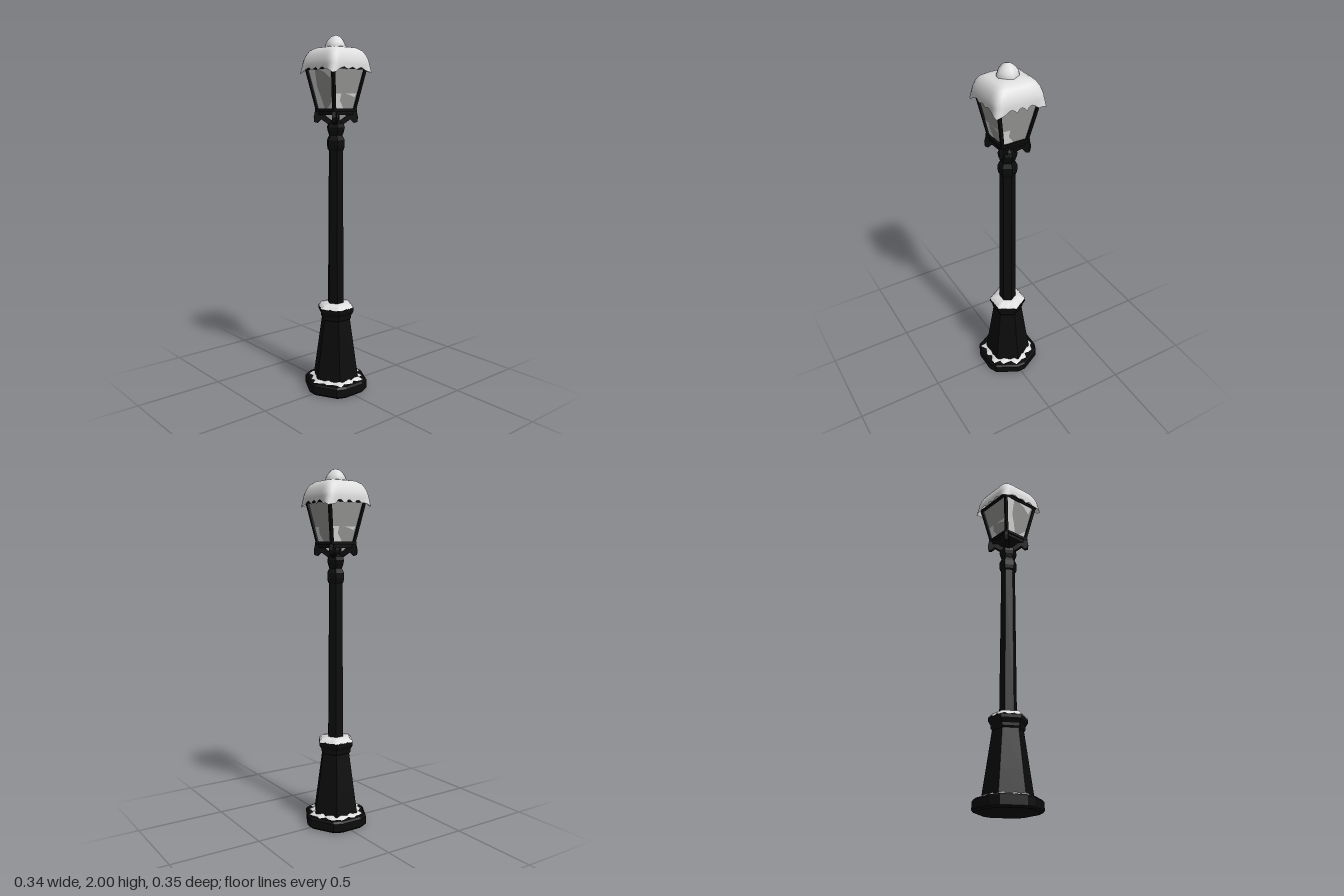
import * as THREE from 'three';

const iron = new THREE.MeshStandardMaterial({ color: 0x0c0c0c, flatShading: true });
iron.name = 'black iron';
const snow = new THREE.MeshStandardMaterial({ color: 0xdedede, side: THREE.DoubleSide });
snow.name = 'snow';
const glass = new THREE.MeshStandardMaterial({ color: 0x9c9c9a, flatShading: true, side: THREE.DoubleSide });
glass.name = 'frosted glass';

const V = (x, y, z) => new THREE.Vector3(x, y, z);

function add(parent, name, geometry, material) {
  const mesh = new THREE.Mesh(geometry, material);
  mesh.name = name;
  parent.add(mesh);
  return mesh;
}

// Six-sided turned part from [radius, y] pairs, bottom to top
const hexLathe = (pts) => new THREE.LatheGeometry(pts.map((p) => new THREE.Vector2(...p)), 6);

// Skin over closed rings; each ring maps an angle and index to [radius, y]
function loft(rings, seg) {
  const pos = [], idx = [];
  rings.forEach((ring, j) => {
    for (let i = 0; i < seg; i++) {
      const a = (i / seg) * Math.PI * 2;
      const [r, y] = ring(a, i);
      pos.push(Math.sin(a) * r, y, Math.cos(a) * r);
      if (j === rings.length - 1) continue;
      const n = (i + 1) % seg, p = j * seg + i, q = j * seg + n;
      idx.push(p, q, q + seg, p, q + seg, p + seg);
    }
  });
  const g = new THREE.BufferGeometry();
  g.setAttribute('position', new THREE.Float32BufferAttribute(pos, 3));
  g.setIndex(idx);
  g.computeVertexNormals();
  return g;
}

// Radius of a hexagon (corners on z) and of a rounded square
const hexR = (a, R) => {
  const t = (a % (Math.PI / 3)) - Math.PI / 6;
  return (R * Math.cos(Math.PI / 6)) / Math.cos(t);
};
const squareR = (a, half, p) =>
  half * Math.pow(Math.abs(Math.sin(a)) ** p + Math.abs(Math.cos(a)) ** p, -1 / p);

// Square bar between two points
function bar(a, b, w) {
  const d = b.clone().sub(a);
  const g = new THREE.BoxGeometry(w, d.length(), w);
  g.applyQuaternion(new THREE.Quaternion().setFromUnitVectors(V(0, 1, 0), d.normalize()));
  g.translate((a.x + b.x) / 2, (a.y + b.y) / 2, (a.z + b.z) / 2);
  return g;
}

function buildPost(group) {
  // Plinth: hexagon with cut corners
  const half = [[0.158, 0.06], [0.138, 0.105], [0.022, 0.167]];
  const mirror = (s, t) => half.map(([x, z]) => new THREE.Vector2(x * s, z * t));
  const outline = [...mirror(1, 1), ...mirror(-1, 1).reverse(), ...mirror(-1, -1), ...mirror(1, -1).reverse()];
  const plinth = new THREE.ExtrudeGeometry(new THREE.Shape(outline), {
    depth: 0.044, bevelThickness: 0.011, bevelSize: 0.01, bevelSegments: 1,
  });
  plinth.rotateX(-Math.PI / 2).translate(0, 0.011, 0);
  add(group, 'plinth', plinth, iron);

  add(group, 'pedestal', hexLathe([
    [0.138, 0.06], [0.136, 0.08], [0.118, 0.2], [0.086, 0.42], [0.093, 0.43], [0.093, 0.445],
    [0.108, 0.47], [0.108, 0.487], [0.085, 0.507], [0, 0.51],
  ]), iron);
  add(group, 'pole', hexLathe([
    [0.048, 0.5], [0.041, 1.38], [0.048, 1.39], [0.052, 1.41], [0.052, 1.44], [0.039, 1.465],
    [0.048, 1.49], [0.052, 1.51], [0.045, 1.53], [0.02, 1.545], [0, 1.547],
  ]), iron);

  // Ragged snow lying on the two ledges
  const rag = (i) => 0.009 * Math.sin(i * 2.3) + 0.006 * Math.sin(i * 4.1 + 1);
  add(group, 'plinthSnow', loft([
    (a, i) => [hexR(a, 0.161) + rag(i), 0.067],
    (a, i) => [hexR(a, 0.152) + rag(i) * 0.7, 0.074],
    (a, i) => [hexR(a, 0.126), 0.081 + rag(i) * 0.6],
  ], 36), snow);
  add(group, 'collarSnow', loft([
    (a, i) => [hexR(a, 0.108), 0.49 + rag(i) * 0.4],
    (a) => [hexR(a, 0.088), 0.511],
    (a) => [hexR(a, 0.04), 0.516],
  ], 36), snow);
}

function buildLantern(group) {
  const low = 1.605, high = 1.825;
  const width = (v) => 0.069 + 0.041 * v;
  const s2 = Math.SQRT2;

  const panes = new THREE.CylinderGeometry(width(1) * s2, width(0) * s2, high - low, 4, 1, true);
  panes.rotateY(Math.PI / 4).translate(0, (low + high) / 2, 0);
  add(group, 'glassPanes', panes, glass);

  // Floor frame and roof underside
  add(group, 'floorFrame', new THREE.BoxGeometry(0.164, 0.016, 0.164).translate(0, 1.602, 0), iron);
  add(group, 'floorPlate', new THREE.BoxGeometry(0.148, 0.018, 0.148).translate(0, 1.585, 0), iron);
  const roof = new THREE.CylinderGeometry(0.05 * s2, 0.125 * s2, 0.08, 4).rotateY(Math.PI / 4);
  add(group, 'roof', roof.translate(0, 1.867, 0), iron);

  // Curled bracket profile, in radius and height
  const bracket = new THREE.Shape([
    [0.02, 1.5], [0.045, 1.528], [0.08, 1.553], [0.1, 1.533], [0.118, 1.538], [0.121, 1.565],
    [0.114, 1.595], [0.075, 1.595], [0.05, 1.566], [0.02, 1.545],
  ].map((p) => new THREE.Vector2(...p)));

  // Frost patches on each pane: u across, v up
  const frost = [
    [[-0.9, 0.03], [-0.1, 0.03], [-0.3, 0.3], [-0.5, 0.55], [-0.4, 0.97], [-0.9, 0.97]],
    [[-0.1, 0.97], [0.85, 0.97], [0.75, 0.75], [0.35, 0.88]],
    [[0.15, 0.03], [0.88, 0.03], [0.85, 0.22], [0.5, 0.1]],
  ];

  for (let k = 0; k < 4; k++) {
    const side = new THREE.Group();
    side.name = 'lanternSide' + (k + 1);
    side.rotation.y = (k * Math.PI) / 2;
    group.add(side);

    const w0 = width(0) + 0.002, w1 = width(1) + 0.002;
    add(side, 'cornerPost', bar(V(w0, low, w0), V(w1, high, w1), 0.016), iron);
    add(side, 'topRail', bar(V(-w1, high, w1), V(w1, high, w1), 0.014), iron);

    const arm = new THREE.ExtrudeGeometry(bracket, { depth: 0.022, bevelEnabled: false });
    arm.translate(0, 0, -0.011).rotateY(-Math.PI / 4);
    add(side, 'bracket', arm, iron);

    frost.slice(0, k === 0 ? 3 : 1 + (k % 2)).forEach((pts) => {
      const reach = k === 0 ? 1 : 0.4;
      const patch = new THREE.ShapeGeometry(new THREE.Shape(pts.map((p) => new THREE.Vector2(...p))));
      const p = patch.attributes.position;
      for (let i = 0; i < p.count; i++) {
        const v = p.getY(i) < 0.9 ? p.getY(i) * reach : p.getY(i) * reach;
        p.setXYZ(i, p.getX(i) * width(v), low + v * (high - low), width(v) + 0.002);
      }
      patch.computeVertexNormals();
      add(side, 'frostPatch', patch, snow);
    });
  }
}

function buildSnowCap(group) {
  // Zigzag hem with longer icicles at the corners
  const hem = (a, i) => {
    const corner = Math.max(0, Math.abs(Math.sin(2 * a)) - 0.93) / 0.07;
    const tooth = [0, 0.012, 0.022, 0.006][i % 4] * (0.8 + 0.3 * Math.sin(i * 1.7));
    return [squareR(a, 0.139 + 0.009 * corner, 10), 1.826 - tooth - 0.03 * corner * corner];
  };
  const ring = (half, y, p) => (a) => [squareR(a, half, p), y];
  add(group, 'snowCap', loft([
    hem, ring(0.14, 1.842, 9), ring(0.137, 1.865, 8), ring(0.128, 1.892, 7), ring(0.112, 1.917, 7),
    ring(0.088, 1.932, 6), ring(0.05, 1.939, 4), ring(0.001, 1.942, 2),
  ], 64), snow);

  // Lumpy snow ball on the finial
  const knob = (r, y) => (a, i) => [r * (1 + 0.06 * Math.sin(i * 2.1)), y];
  add(group, 'snowFinial', loft([
    knob(0.055, 1.93), knob(0.057, 1.944), knob(0.05, 1.962), knob(0.038, 1.979),
    knob(0.022, 1.993), knob(0.001, 2),
  ], 14), snow);
}

export function createModel() {
  const model = new THREE.Group();
  model.name = 'snowyStreetLamp';
  for (const [name, build] of [['post', buildPost], ['lantern', buildLantern], ['snowRoof', buildSnowCap]]) {
    const group = new THREE.Group();
    group.name = name;
    build(group);
    model.add(group);
  }
  return model;
}
